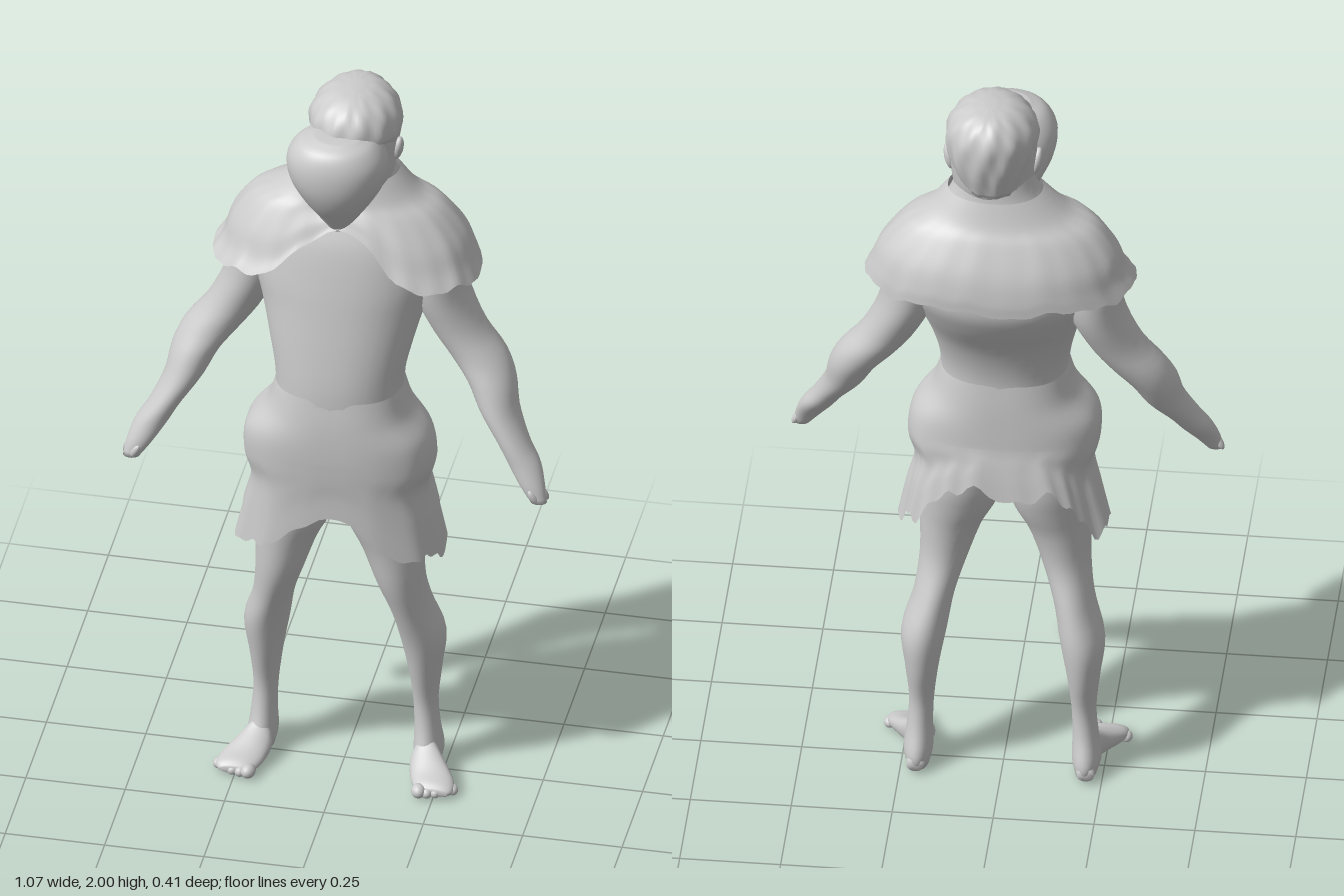
import * as THREE from 'three';

const skin = new THREE.MeshStandardMaterial({ color: 0xcccccc });
const cloth = new THREE.MeshStandardMaterial({ color: 0xcccccc, side: THREE.DoubleSide });

// Smooth skin through horizontal rings, listed top to bottom: [y, xMin, xMax, zMin, zMax].
// round < 1 makes the rings boxier; warp(point, angle, t) can reshape the surface.
function loft(keys, { rows = 32, sides = 36, round = 1, cap = true, warp } = {}) {
  const a = new THREE.CatmullRomCurve3(keys.map(k => new THREE.Vector3(k[0], k[1], k[2])), false, 'catmullrom');
  const b = new THREE.CatmullRomCurve3(keys.map(k => new THREE.Vector3(k[3], k[4], 0)), false, 'catmullrom');
  const pos = [], index = [], v = new THREE.Vector3();
  const bend = c => Math.sign(c) * Math.abs(c) ** round;
  const addRing = (t, size) => {
    const p = a.getPoint(t), q = b.getPoint(t);
    for (let i = 0; i < sides; i++) {
      const ang = i / sides * Math.PI * 2;
      v.set((p.y + p.z) / 2 + size * bend(Math.sin(ang)) * (p.z - p.y) / 2, p.x,
        (q.x + q.y) / 2 + size * bend(Math.cos(ang)) * (q.y - q.x) / 2);
      if (warp) warp(v, ang, t);
      pos.push(v.x, v.y, v.z);
    }
  };
  if (cap) addRing(0, 0);
  for (let j = 0; j <= rows; j++) addRing(j / rows, 1);
  if (cap) addRing(1, 0);
  const count = pos.length / 3 / sides;
  for (let j = 0; j < count - 1; j++) {
    for (let i = 0; i < sides; i++) {
      const n = (i + 1) % sides, r = j * sides, s = r + sides;
      index.push(r + i, s + i, r + n, s + i, s + n, r + n);
    }
  }
  const g = new THREE.BufferGeometry();
  g.setAttribute('position', new THREE.Float32BufferAttribute(pos, 3));
  g.setIndex(index);
  g.computeVertexNormals();
  return g;
}

const mirrored = (keys, s) => s > 0 ? keys : keys.map(([y, x0, x1, z0, z1]) => [y, -x1, -x0, z0, z1]);
// Ragged edge made of a few waves
const ragged = a => 0.5 * Math.sin(7 * a + 1) + 0.3 * Math.sin(13 * a) + 0.3 * Math.sin(23 * a + 2);

export function createModel() {
  const model = new THREE.Group();
  const add = (name, geometry, material = skin, parent = model) => {
    const m = new THREE.Mesh(geometry, material);
    m.name = name;
    parent.add(m);
    return m;
  };
  const blob = (name, parent, p, s, rot = [0, 0, 0]) => {
    const m = add(name, new THREE.SphereGeometry(1, 16, 12), skin, parent);
    m.position.set(...p);
    m.scale.set(...s);
    m.rotation.set(...rot);
  };

  // Torso in a close tunic, up to the neck
  add('torso', loft([
    [1.86, -0.06, 0.1, -0.09, 0.05], [1.76, -0.09, 0.125, -0.1, 0.06], [1.69, -0.15, 0.165, -0.125, 0.075],
    [1.64, -0.2, 0.21, -0.145, 0.1], [1.58, -0.23, 0.24, -0.175, 0.125], [1.48, -0.23, 0.235, -0.19, 0.148],
    [1.4, -0.205, 0.21, -0.16, 0.162], [1.3, -0.178, 0.182, -0.1, 0.178], [1.2, -0.158, 0.162, -0.07, 0.19],
    [1.1, -0.16, 0.165, -0.07, 0.19], [1, -0.19, 0.19, -0.08, 0.185], [0.9, -0.16, 0.16, -0.075, 0.165],
    [0.83, -0.09, 0.09, -0.035, 0.13], [0.8, -0.03, 0.03, 0.01, 0.09],
  ], { rows: 56, round: 0.9 }));

  // Torn skirt: high at centre front and back, hanging low at the sides
  add('skirt', loft([
    [1.18, -0.155, 0.159, -0.067, 0.188], [1.11, -0.178, 0.182, -0.075, 0.197], [1.04, -0.23, 0.23, -0.08, 0.2],
    [0.96, -0.235, 0.24, -0.085, 0.198], [0.89, -0.218, 0.222, -0.092, 0.195], [0.8, -0.235, 0.24, -0.1, 0.19],
    [0.69, -0.258, 0.258, -0.108, 0.188],
  ], {
    rows: 36, sides: 120, round: 0.78, cap: false,
    warp(v, a, t) {
      const c = Math.cos(a), rise = c > 0 ? 0.12 * c ** 10 : 0.18 * (-c) ** 1.8;
      const hem = 0.705 + rise + ragged(a) * (c > 0.2 ? 0.014 : 0.038);
      if (v.y < 1) v.y = 1 - (1 - v.y) * (1 - hem) / 0.31;
      v.x *= 1 + 0.03 * Math.sin(9 * a) * t * t;
    },
  }), cloth);

  // Shoulder cape, sinking into the chest at centre front
  add('cape', loft([
    [1.76, -0.1, 0.135, -0.105, 0.065], [1.7, -0.165, 0.185, -0.13, 0.085], [1.66, -0.235, 0.245, -0.155, 0.105],
    [1.59, -0.285, 0.3, -0.19, 0.14], [1.53, -0.305, 0.325, -0.205, 0.165], [1.49, -0.33, 0.342, -0.207, 0.187],
  ], {
    rows: 24, sides: 100, round: 0.92, cap: false,
    warp(v, a, t) {
      const c = Math.max(0, Math.cos(a));
      const hem = 1.495 + 0.14 * c ** 12 + ragged(a) * 0.013;
      if (v.y < 1.7) v.y = 1.7 - (1.7 - v.y) * (1.7 - hem) / 0.21;
      v.z -= 0.075 * c ** 12 * t;
    },
  }), cloth);

  // Head with tousled hair
  const head = new THREE.Group();
  head.name = 'head';
  model.add(head);
  add('skull', loft([
    [1.96, -0.04, 0.1, -0.08, 0.06], [1.9, -0.08, 0.132, -0.115, 0.1], [1.82, -0.08, 0.13, -0.11, 0.1],
    [1.75, -0.07, 0.12, -0.09, 0.09], [1.68, -0.04, 0.09, -0.03, 0.08],
  ]), skin, head);
  add('hair', loft([
    [2, 0.015, 0.045, -0.04, 0.015], [1.992, -0.025, 0.08, -0.085, 0.06], [1.97, -0.06, 0.115, -0.113, 0.098],
    [1.935, -0.083, 0.137, -0.13, 0.12], [1.89, -0.085, 0.141, -0.132, 0.122], [1.84, -0.072, 0.128, -0.125, 0.095],
    [1.78, -0.05, 0.1, -0.108, 0.05],
  ], {
    sides: 72,
    warp(v, a, t) {
      const c = Math.cos(a);
      if (c > 0 && v.y < 1.9) v.y += (1.9 - v.y) * Math.min(1, c * 1.5) * 0.6;
      const k = 1 + 0.018 * Math.sin(11 * a + 9 * t) + 0.012 * Math.sin(19 * a - 14 * t);
      v.x = 0.027 + (v.x - 0.027) * k;
      v.z *= k;
    },
  }), skin, head);
  for (const s of [-1, 1]) blob('ear', head, [0.025 + s * 0.108, 1.83, -0.005], [0.014, 0.036, 0.02], [0.2, 0, -s * 0.2]);

  // Large drop-shaped mask before the face, sloping back to the throat
  add('mask', loft([
    [1.925, -0.05, 0.06, 0.06, 0.15], [1.905, -0.095, 0.1, 0.02, 0.187], [1.86, -0.122, 0.127, -0.01, 0.205],
    [1.8, -0.118, 0.123, -0.03, 0.203], [1.74, -0.09, 0.096, -0.04, 0.18], [1.68, -0.055, 0.06, -0.03, 0.137],
    [1.61, -0.014, 0.018, 0, 0.085],
  ], { round: 0.95 }), skin, head);

  for (const s of [1, -1]) {
    const side = s > 0 ? 'left' : 'right';

    // Arm with hand
    const arm = new THREE.Group();
    arm.name = side + 'Arm';
    model.add(arm);
    add('armSkin', loft(mirrored([
      [1.6, 0.16, 0.25, -0.1, 0.03], [1.52, 0.15, 0.29, -0.13, 0.06], [1.42, 0.165, 0.305, -0.13, 0.06],
      [1.32, 0.212, 0.35, -0.105, 0.05], [1.25, 0.262, 0.405, -0.09, 0.055], [1.19, 0.31, 0.432, -0.07, 0.075],
      [1.12, 0.348, 0.446, -0.035, 0.095], [1.05, 0.398, 0.478, 0.012, 0.112], [1, 0.428, 0.51, 0.042, 0.12],
      [0.95, 0.462, 0.526, 0.078, 0.13], [0.91, 0.492, 0.533, 0.1, 0.132],
    ], s)), skin, arm);
    for (let i = 0; i < 3; i++) {
      blob('finger', arm, [s * (0.502 + i * 0.01), 0.926 + i * 0.003, 0.126 - i * 0.01], [0.01, 0.024, 0.01], [0.2, 0, s * 0.5]);
    }

    // Leg
    const leg = new THREE.Group();
    leg.name = side + 'Leg';
    model.add(leg);
    add('legSkin', loft(mirrored([
      [0.98, 0.01, 0.19, -0.07, 0.17], [0.86, 0.002, 0.205, -0.075, 0.165], [0.78, 0.015, 0.21, -0.06, 0.155],
      [0.7, 0.055, 0.212, -0.04, 0.143], [0.6, 0.09, 0.212, -0.035, 0.13], [0.5, 0.122, 0.224, -0.065, 0.102],
      [0.4, 0.14, 0.252, -0.09, 0.072], [0.3, 0.158, 0.242, -0.083, 0.046], [0.2, 0.17, 0.232, -0.06, 0.022],
      [0.12, 0.173, 0.237, -0.065, 0.026], [0.05, 0.172, 0.245, -0.088, 0.045], [0.01, 0.18, 0.235, -0.08, 0.03],
    ], s), { rows: 40 }), skin, leg);

    // Foot: rings run from toes to heel, then the length is turned to point forward
    const foot = loft(mirrored([
      [0.14, 0.215, 0.285, -0.03, -0.012], [0.125, 0.2, 0.298, -0.042, -0.005], [0.09, 0.184, 0.294, -0.055, -0.004],
      [0.045, 0.174, 0.265, -0.08, -0.006], [0.01, 0.18, 0.24, -0.1, -0.006], [-0.04, 0.18, 0.236, -0.08, -0.003],
      [-0.085, 0.19, 0.232, -0.045, -0.012],
    ], s), { rows: 24, sides: 28, round: 0.95 });
    foot.rotateX(Math.PI / 2);
    add('foot', foot, skin, leg);
    for (let i = 0; i < 5; i++) {
      const r = i ? 0.014 : 0.018;
      blob('toe', leg, [s * (0.214 + i * 0.02), r + 0.004, 0.136 - i * i * 0.0018], [r, r, r * 1.2], [0, s * 0.3, 0]);
    }
  }
  return model;
}
